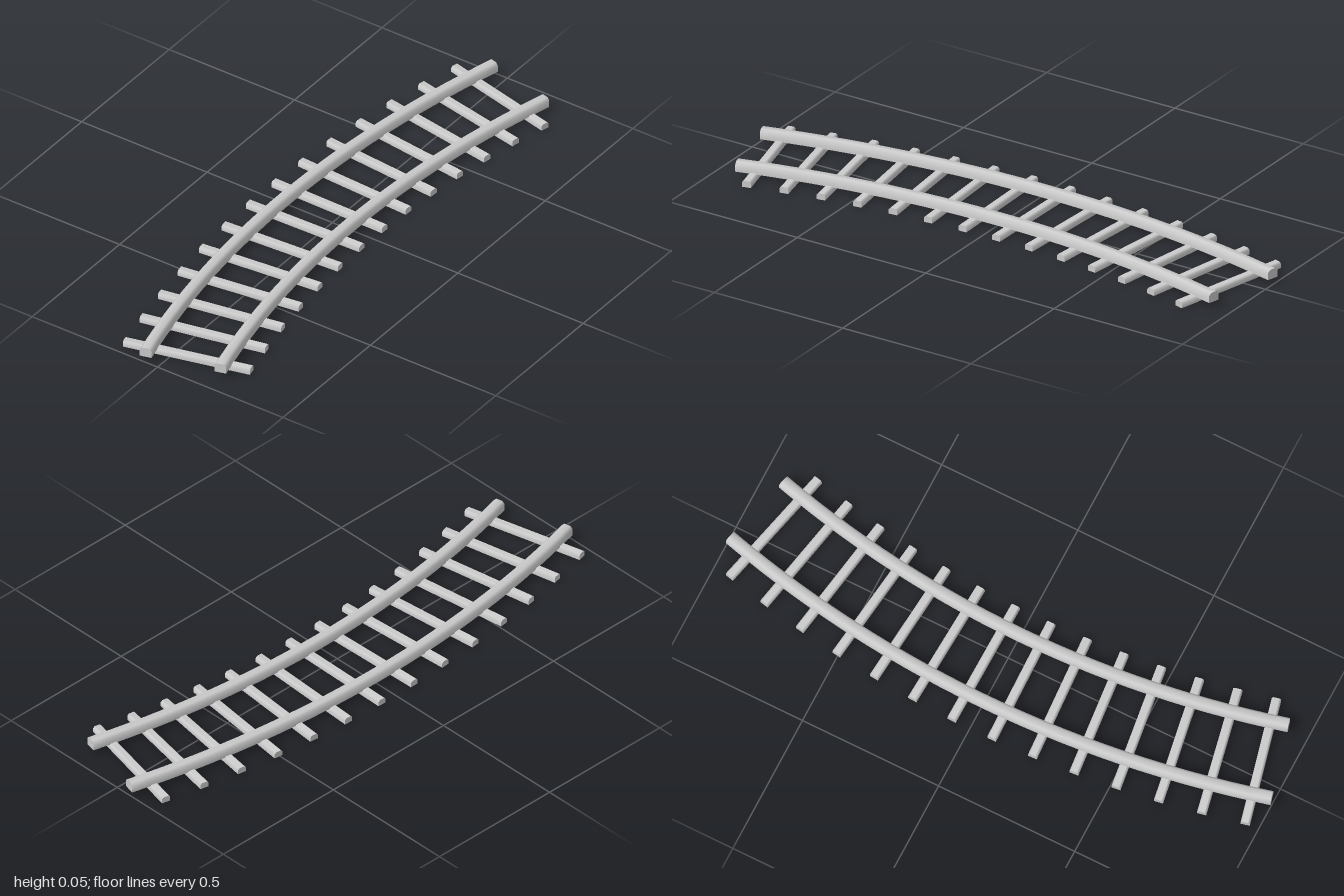
import * as THREE from 'three';
import { toCreasedNormals } from 'three/addons/utils/BufferGeometryUtils.js';

const CENTER_X = 3.72; // centre of the curve, on the x axis

// Bar cross-section standing on y = 0 with chamfered top corners
function barProfile(width, height, chamfer) {
  const w = width / 2;
  return new THREE.Shape([
    new THREE.Vector2(-w, 0),
    new THREE.Vector2(w, 0),
    new THREE.Vector2(w, height - chamfer),
    new THREE.Vector2(w - chamfer, height),
    new THREE.Vector2(-w + chamfer, height),
    new THREE.Vector2(-w, height - chamfer),
  ]);
}

function extrudeBar(profile, length, steps) {
  const geometry = new THREE.ExtrudeGeometry(profile, { depth: length, steps, bevelEnabled: false });
  return geometry.translate(0, 0, -length / 2);
}

// Straight bar bent round the curve centre; z becomes the angle
function railGeometry(radius, halfAngle) {
  const geometry = extrudeBar(barProfile(0.041, 0.034, 0.009), 2 * halfAngle, 28);
  const p = geometry.attributes.position;
  for (let i = 0; i < p.count; i++) {
    const r = radius - p.getX(i);
    const a = p.getZ(i);
    p.setXYZ(i, CENTER_X - r * Math.cos(a), p.getY(i), r * Math.sin(a));
  }
  return toCreasedNormals(geometry, THREE.MathUtils.degToRad(50));
}

export function createModel() {
  const model = new THREE.Group();
  model.name = 'curvedTrack';
  const material = new THREE.MeshStandardMaterial({ color: 0xcccccc });

  // Two concentric rails
  for (const [name, radius] of [['outerRail', 3.9], ['innerRail', 3.64]]) {
    const rail = new THREE.Mesh(railGeometry(radius, 0.258), material);
    rail.name = name;
    rail.position.y = 0.018;
    model.add(rail);
  }

  // Ties laid radially under the rails
  const tieGeometry = toCreasedNormals(
    extrudeBar(barProfile(0.031, 0.022, 0.006), 0.446, 1).rotateY(Math.PI / 2),
    THREE.MathUtils.degToRad(50)
  );
  const tieRadius = 3.776, count = 14, first = -0.237, last = 0.241;
  for (let i = 0; i < count; i++) {
    const a = THREE.MathUtils.lerp(first, last, i / (count - 1));
    const tie = new THREE.Mesh(tieGeometry, material);
    tie.name = `tie${i + 1}`;
    tie.position.set(CENTER_X - tieRadius * Math.cos(a), 0, tieRadius * Math.sin(a));
    tie.rotation.y = a;
    model.add(tie);
  }

  return model;
}
